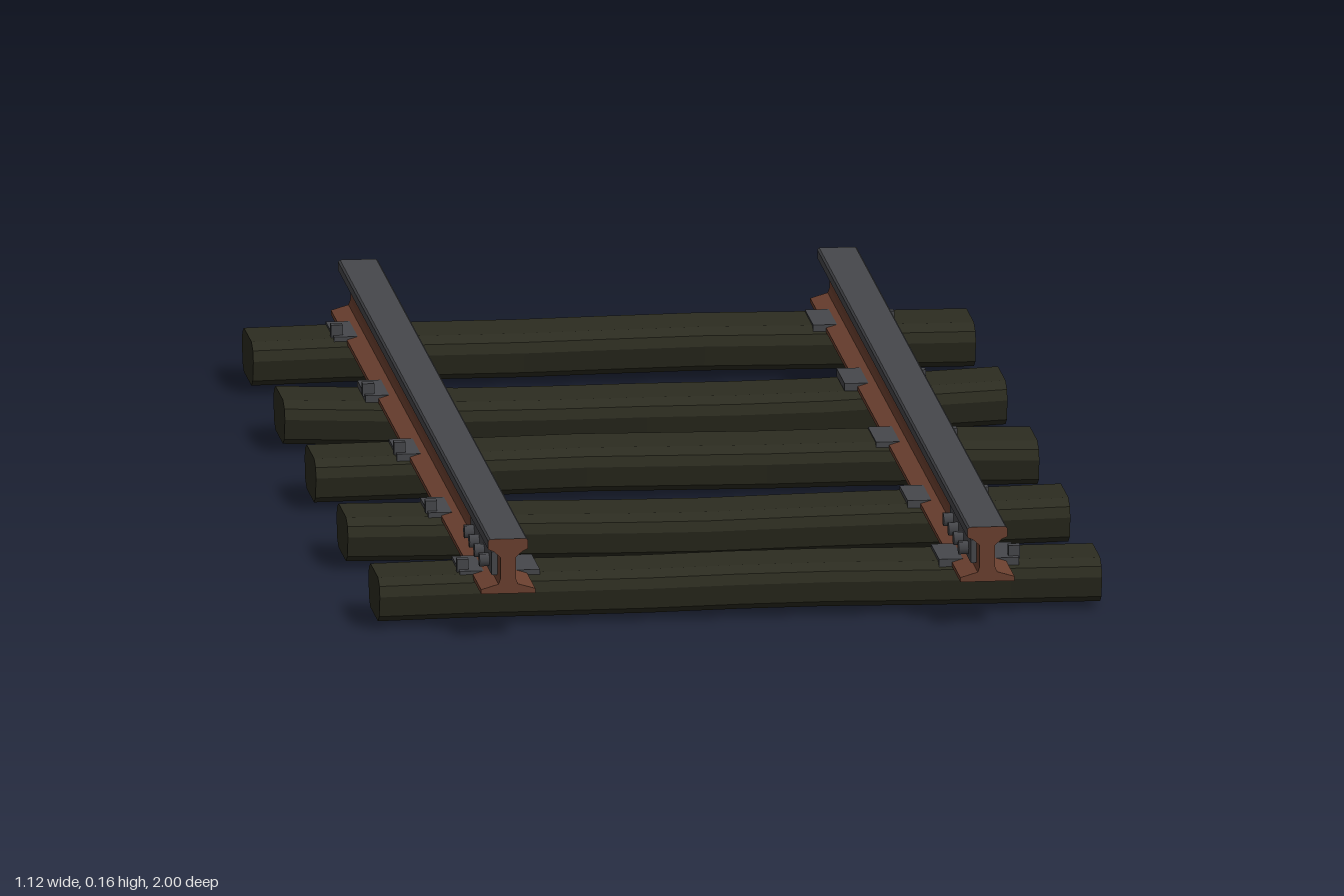
import * as THREE from 'three';

const mat = (name, color) => Object.assign(new THREE.MeshStandardMaterial({ color }), { name });

// Extrude a closed outline along z, centred, with flat normals
function extrude(points, depth, steps = 1) {
  const shape = new THREE.Shape(points.map(([x, y]) => new THREE.Vector2(x, y)));
  return new THREE.ExtrudeGeometry(shape, { depth, steps, bevelEnabled: false }).translate(0, 0, -depth / 2);
}

// Mirror a half outline (bottom to top, +x side) into a full one
const mirrored = (half) => [...half, ...half.map(([x, y]) => [-x, y]).reverse()];

// Smooth curve through left, middle and right values
const bend = ([l, m, r], t) => m + (r - l) / 2 * t + ((l + r) / 2 - m) * t * t;

export function createModel() {
  const wood = mat('dark wood', 0x2c2c20);
  const rust = mat('rust', 0x6b402f);
  const steel = mat('worn steel', 0x46474b);
  const track = new THREE.Group();
  track.name = 'track';

  function add(parent, name, geometry, material, x = 0, y = 0, z = 0) {
    const mesh = new THREE.Mesh(geometry, material);
    mesh.name = name;
    mesh.position.set(x, y, z);
    parent.add(mesh);
    return mesh;
  }

  // Sleepers: chamfered beams, each bent a little differently
  const sleeperOutline = mirrored([
    [0.05, -0.035], [0.068, -0.024], [0.076, 0.008], [0.07, 0.024], [0.05, 0.034],
  ]);
  const sleepers = [
    { z: [-0.845, -0.848, -0.855], y: [0.049, 0.053, 0.049] },
    { z: [-0.425, -0.418, -0.435], y: [0.05, 0.04, 0.05] },
    { z: [-0.01, -0.013, -0.01], y: [0.049, 0.054, 0.049] },
    { z: [0.415, 0.415, 0.403], y: [0.05, 0.046, 0.05] },
    { z: [0.84, 0.828, 0.825], y: [0.049, 0.051, 0.049] },
  ];
  sleepers.forEach((s, i) => {
    const g = extrude(sleeperOutline, 1.12, 8).rotateY(Math.PI / 2);
    const p = g.attributes.position;
    for (let k = 0; k < p.count; k++) {
      const t = p.getX(k) / 0.56;
      const ripple = 0.002 * Math.sin(t * 6 + i * 1.7) * (1 - t * t);
      p.setY(k, p.getY(k) + bend(s.y, t) + ripple);
      p.setZ(k, p.getZ(k) + bend(s.z, t) + ripple);
    }
    g.computeVertexNormals();
    add(track, 'sleeper', g, wood);
  });

  // Rails: rusty foot and web, steel running head with rusty ends
  const body = extrude(mirrored([
    [0.042, 0.077], [0.042, 0.084], [0.015, 0.092], [0.012, 0.1], [0.012, 0.134], [0.022, 0.143],
  ]), 2);
  const head = extrude(mirrored([[0.022, 0.143], [0.031, 0.147], [0.031, 0.16], [0.028, 0.163]]), 2);
  const plate = new THREE.BoxGeometry(0.124, 0.012, 0.11);
  const spikeHead = new THREE.BoxGeometry(0.018, 0.02, 0.016);
  const joint = new THREE.BoxGeometry(0.01, 0.036, 0.28);
  const bolt = new THREE.CylinderGeometry(0.011, 0.011, 0.016, 6).rotateZ(Math.PI / 2);

  for (const side of [-1, 1]) {
    const rail = new THREE.Group();
    rail.name = side > 0 ? 'leftRail' : 'rightRail';
    rail.position.x = side * 0.371;
    track.add(rail);
    add(rail, 'railBody', body, rust);
    add(rail, 'railHead', head, [rust, steel]);

    // Tie plates and spikes on every sleeper
    for (let i = 0; i < 5; i++) {
      const z = -0.842 + 0.419 * i;
      add(rail, 'tiePlate', plate, steel, 0, 0.083, z);
      add(rail, 'spike', spikeHead, steel, side * 0.056, 0.095, z + 0.035);
    }

    // Bolted joint bar near the front end
    add(rail, 'jointBar', joint, steel, -0.016, 0.116, 0.82);
    for (let i = 0; i < 4; i++) add(rail, 'jointBolt', bolt, steel, -0.028, 0.114, 0.72 + i * 0.067);
  }
  return track;
}
